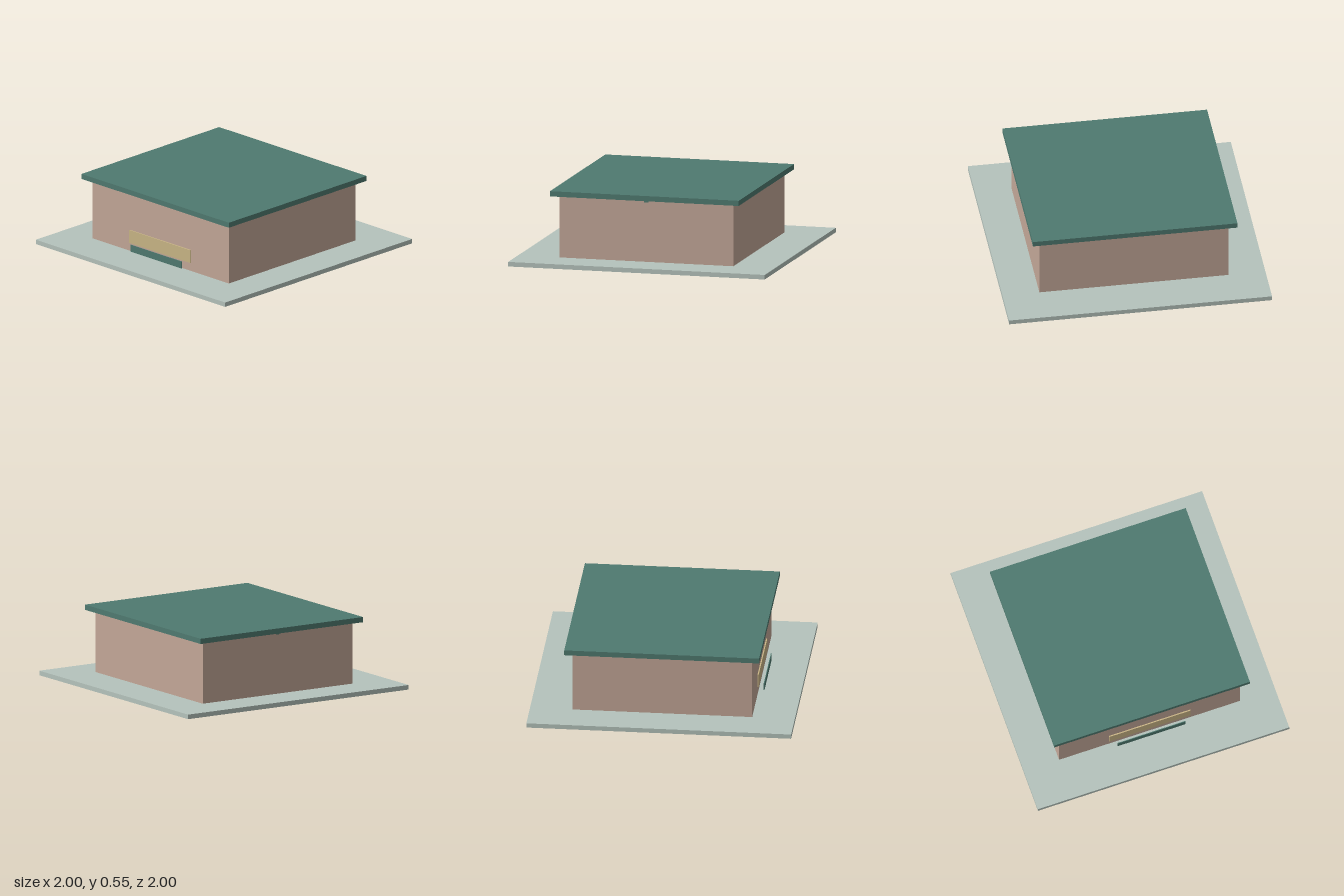
import * as THREE from 'three';

const material = (name, color) => {
  const m = new THREE.MeshStandardMaterial({ color });
  m.name = name;
  return m;
};

export function createModel() {
  const group = new THREE.Group();
  group.name = 'pavilion';
  const paving = material('pale grey green paving', 0xb5c3bc);
  const plaster = material('warm clay plaster', 0xc3a798);
  const green = material('deep green', 0x4f7a70);
  const ochre = material('soft ochre', 0xc9b586);

  // Box given by its size, bottom height and front-back centre
  const box = (name, mat, w, h, d, y, z = 0) => {
    const mesh = new THREE.Mesh(new THREE.BoxGeometry(w, h, d), mat);
    mesh.name = name;
    mesh.position.set(0, y + h / 2, z);
    group.add(mesh);
    return mesh;
  };

  // Ground slab, walls and overhanging flat roof
  box('groundSlab', paving, 2, 0.035, 2, 0);
  box('walls', plaster, 1.44, 0.474, 1.356, 0.035);
  box('roof', green, 1.556, 0.04, 1.472, 0.509);

  // Crossing roof beams, ends just showing through the walls
  box('beamAcross', green, 1.446, 0.019, 0.032, 0.49);
  box('beamAlong', green, 0.032, 0.019, 1.362, 0.49);

  // Front sign panel and the bar standing before it
  box('frontPanel', ochre, 0.646, 0.102, 0.009, 0.101, 0.683);
  box('frontBar', green, 0.54, 0.055, 0.006, 0.053, 0.723);

  return group;
}
